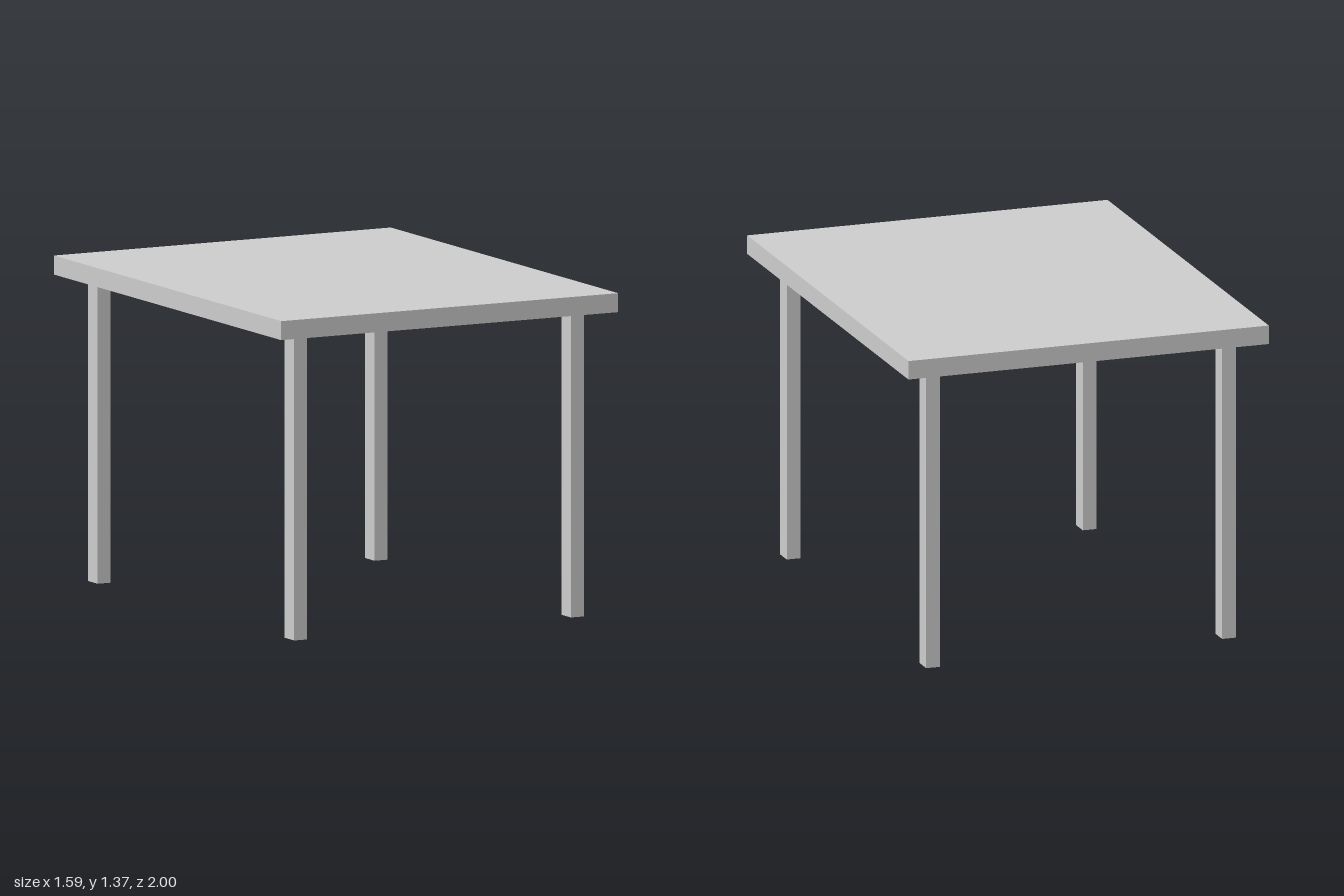
import * as THREE from 'three';

export function createModel() {
  const table = new THREE.Group();
  table.name = 'table';
  const material = new THREE.MeshStandardMaterial({ color: 0xcccccc, flatShading: true });

  const width = 1.59, depth = 2, height = 1.365, topThickness = 0.08;
  const legHeight = height - topThickness;

  function addBox(name, size, position) {
    const mesh = new THREE.Mesh(new THREE.BoxGeometry(...size), material);
    mesh.name = name;
    mesh.position.set(...position);
    table.add(mesh);
  }

  // Flat slab top
  addBox('tableTop', [width, topThickness, depth], [0, height - topThickness / 2, 0]);

  // Four rectangular legs, set in from the corners
  for (const [zName, z] of [['front', 1], ['back', -1]]) {
    for (const [xName, x] of [['Left', 1], ['Right', -1]]) {
      addBox(`${zName}${xName}Leg`, [0.061, legHeight, 0.085], [x * 0.653, legHeight / 2, z * 0.864]);
    }
  }

  return table;
}
